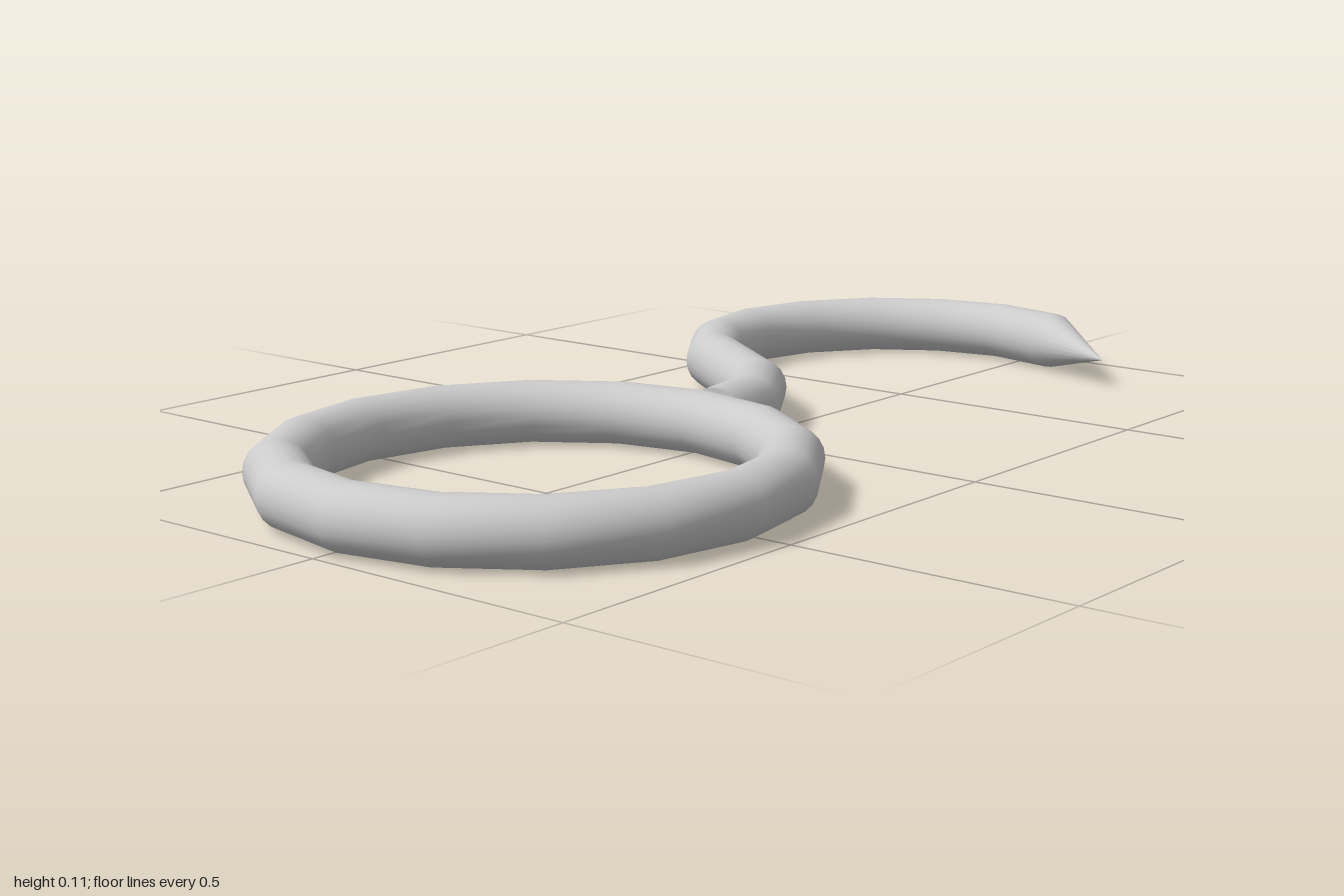
import * as THREE from 'three';

const R = 0.055; // radius of the bar
const SIDES = 20;
const material = new THREE.MeshStandardMaterial({ color: 0xcccccc });

// Centre line of the hook as [x, z], ending in the point
const path = [
  [-0.085, 0.015], [0.045, -0.01], [0.165, -0.09], [0.323, -0.323],
  [0.436, -0.406], [0.578, -0.434], [0.722, -0.401], [0.842, -0.315],
  [0.918, -0.195], [0.945, -0.06], [0.913, 0.085], [0.797, 0.27],
].map(([x, z]) => new THREE.Vector3(x, R, z));

// Direction of the path at point i, averaged over its two neighbours
function tangentAt(i) {
  const a = path[Math.max(i - 1, 0)];
  const b = path[Math.min(i + 1, path.length - 1)];
  return b.clone().sub(a).normalize();
}

// Round sections along the path; the last one shrinks to a point
function hookGeometry() {
  const positions = [];
  const index = [];
  path.forEach((p, i) => {
    const t = tangentAt(i);
    const r = i === path.length - 1 ? 0.0005 : R;
    for (let j = 0; j < SIDES; j++) {
      const a = (j / SIDES) * Math.PI * 2;
      const side = Math.cos(a) * r;
      positions.push(p.x - t.z * side, p.y + Math.sin(a) * r, p.z + t.x * side);
      if (i < path.length - 1) {
        const k = (j + 1) % SIDES;
        const row = i * SIDES, next = row + SIDES;
        index.push(row + j, next + j, row + k, next + j, next + k, row + k);
      }
    }
  });
  const geometry = new THREE.BufferGeometry();
  geometry.setAttribute('position', new THREE.Float32BufferAttribute(positions, 3));
  geometry.setIndex(index);
  geometry.computeVertexNormals();
  return geometry;
}

export function createModel() {
  const model = new THREE.Group();
  model.name = 'ringHook';

  // Flat-lying ring with sixteen segments
  const ring = new THREE.Mesh(new THREE.TorusGeometry(0.412, R, SIDES, 16), material);
  ring.name = 'ring';
  ring.rotation.x = -Math.PI / 2;
  ring.position.set(-0.533, R, 0.012);
  model.add(ring);

  // Curved, pointed hook
  const hook = new THREE.Mesh(hookGeometry(), material);
  hook.name = 'hook';
  model.add(hook);

  // Flat end of the hook where it meets the ring
  const cap = new THREE.Mesh(new THREE.CircleGeometry(R, SIDES), material);
  cap.name = 'hookEnd';
  cap.position.copy(path[0]);
  cap.lookAt(path[0].clone().sub(tangentAt(0)));
  model.add(cap);

  return model;
}
